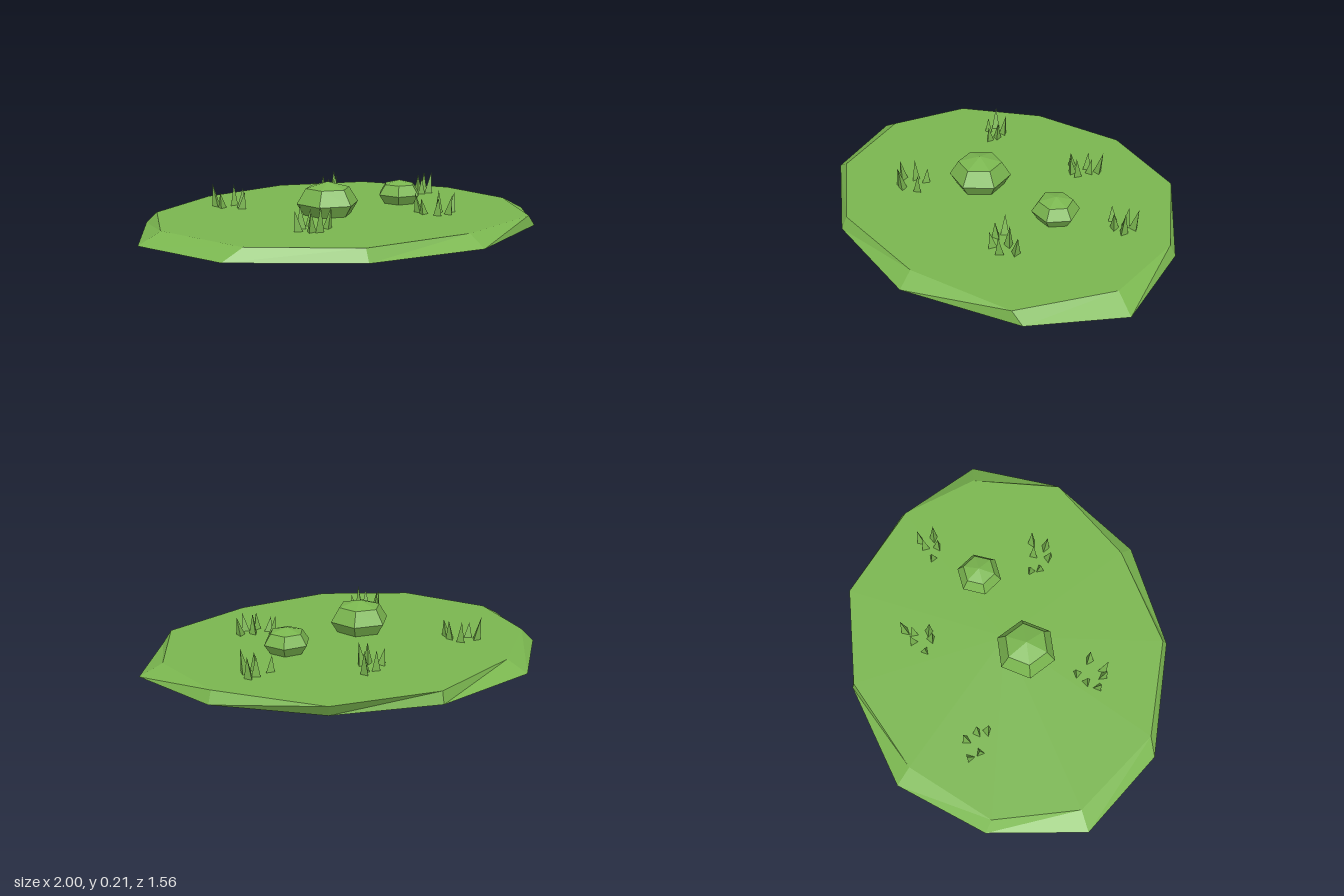
import * as THREE from 'three';

const GROUND = 0.055;

// Flat slab of turf: a bottom and a top loop joined by sloping sides
function slabGeometry(bottom, top) {
  const n = bottom.length, pos = [], index = [];
  for (const [x, z] of bottom) pos.push(x, 0, z);
  for (const [x, z] of top) pos.push(x, GROUND, z);
  pos.push(0, 0, 0, 0, GROUND, 0);
  for (let i = 0; i < n; i++) {
    const j = (i + 1) % n;
    index.push(j, i, n + i, j, n + i, n + j);
    index.push(2 * n, i, j, 2 * n + 1, n + j, n + i);
  }
  const indexed = new THREE.BufferGeometry();
  indexed.setAttribute('position', new THREE.Float32BufferAttribute(pos, 3));
  indexed.setIndex(index);
  const geo = indexed.toNonIndexed();
  geo.computeVertexNormals();
  return geo;
}

export function createModel() {
  const model = new THREE.Group();
  model.name = 'grassPatch';
  const green = new THREE.MeshStandardMaterial({ color: 0x7ab64f, flatShading: true });
  green.name = 'grassGreen';

  // Ground
  const rim = [[-0.06, -0.78], [0.41, -0.67], [0.81, -0.36], [1, 0.07], [0.8, 0.46], [0.33, 0.76],
    [-0.21, 0.78], [-0.74, 0.55], [-1, 0.15], [-0.89, -0.31], [-0.58, -0.66]];
  const lawn = [[-0.06, -0.765], [0.425, -0.7], [0.79, -0.34], [0.895, 0.05], [0.75, 0.48], [0.3, 0.69],
    [-0.21, 0.75], [-0.65, 0.55], [-0.9, 0.14], [-0.845, -0.27], [-0.52, -0.585]];
  const ground = new THREE.Mesh(slabGeometry(rim, lawn), green);
  ground.name = 'ground';
  model.add(ground);

  // Squashed six-sided bushes, partly sunk into the ground
  const bushes = [
    { name: 'largeBush', at: [-0.105, 0.11, 0.08], r: 0.15, h: 0.1, turn: -0.11 },
    { name: 'smallBush', at: [0.337, 0.1, -0.048], r: 0.113, h: 0.071, turn: 0.03 },
  ];
  for (const { name, at, r, h, turn } of bushes) {
    const bush = new THREE.Mesh(new THREE.SphereGeometry(1, 6, 4), green);
    bush.name = name;
    bush.position.set(...at);
    bush.scale.set(r, h, r);
    bush.rotation.y = turn;
    model.add(bush);
  }

  // Tufts: centre, then blades as [x offset, z offset, height]
  const tufts = [
    { at: [-0.49, -0.25], blades: [[-0.06, -0.055, 0.12], [-0.045, 0, 0.08], [0.03, -0.05, 0.11],
      [0.055, 0.01, 0.1], [0.05, 0.06, 0.09]] },
    { at: [0.085, -0.41], blades: [[-0.07, 0.015, 0.08], [-0.015, 0.06, 0.1], [0.025, 0.055, 0.11],
      [-0.005, -0.035, 0.1], [0.04, -0.02, 0.09], [0.06, -0.06, 0.12]] },
    { at: [0.56, -0.25], blades: [[-0.065, -0.005, 0.08], [0.01, -0.03, 0.1], [0.05, -0.045, 0.11],
      [-0.005, 0.035, 0.09], [0.05, 0.025, 0.12]] },
    { at: [-0.29, 0.355], blades: [[-0.075, 0.02, 0.1], [-0.035, -0.03, 0.11], [0.02, -0.065, 0.08],
      [0.075, 0.015, 0.1], [-0.025, 0.06, 0.1], [0.01, 0.07, 0.12]] },
    { at: [0.38, 0.26], blades: [[-0.075, -0.05, 0.1], [-0.075, 0.0, 0.08], [0.015, -0.01, 0.11],
      [0.085, 0, 0.1], [-0.025, 0.06, 0.09], [0.04, 0.06, 0.1]] },
  ];
  const up = new THREE.Vector3(0, 1, 0);
  const cone = new THREE.ConeGeometry(1, 1, 3).translate(0, 0.5, 0);
  tufts.forEach(({ at, blades }, t) => {
    const tuft = new THREE.Group();
    tuft.name = `grassTuft${t + 1}`;
    tuft.position.set(at[0], GROUND - 0.005, at[1]);
    blades.forEach(([x, z, height], i) => {
      const blade = new THREE.Mesh(cone, green);
      blade.name = 'grassBlade';
      blade.position.set(x * 0.92, 0, z * 0.92);
      blade.scale.set(0.024, height, 0.024);
      // Each blade leans away from the middle of its tuft
      const lean = new THREE.Vector3(x * 2.2, 1, z * 2.2).normalize();
      const spin = new THREE.Quaternion().setFromAxisAngle(up, i * 1.7 + t);
      blade.quaternion.setFromUnitVectors(up, lean).multiply(spin);
      tuft.add(blade);
    });
    model.add(tuft);
  });
  return model;
}
